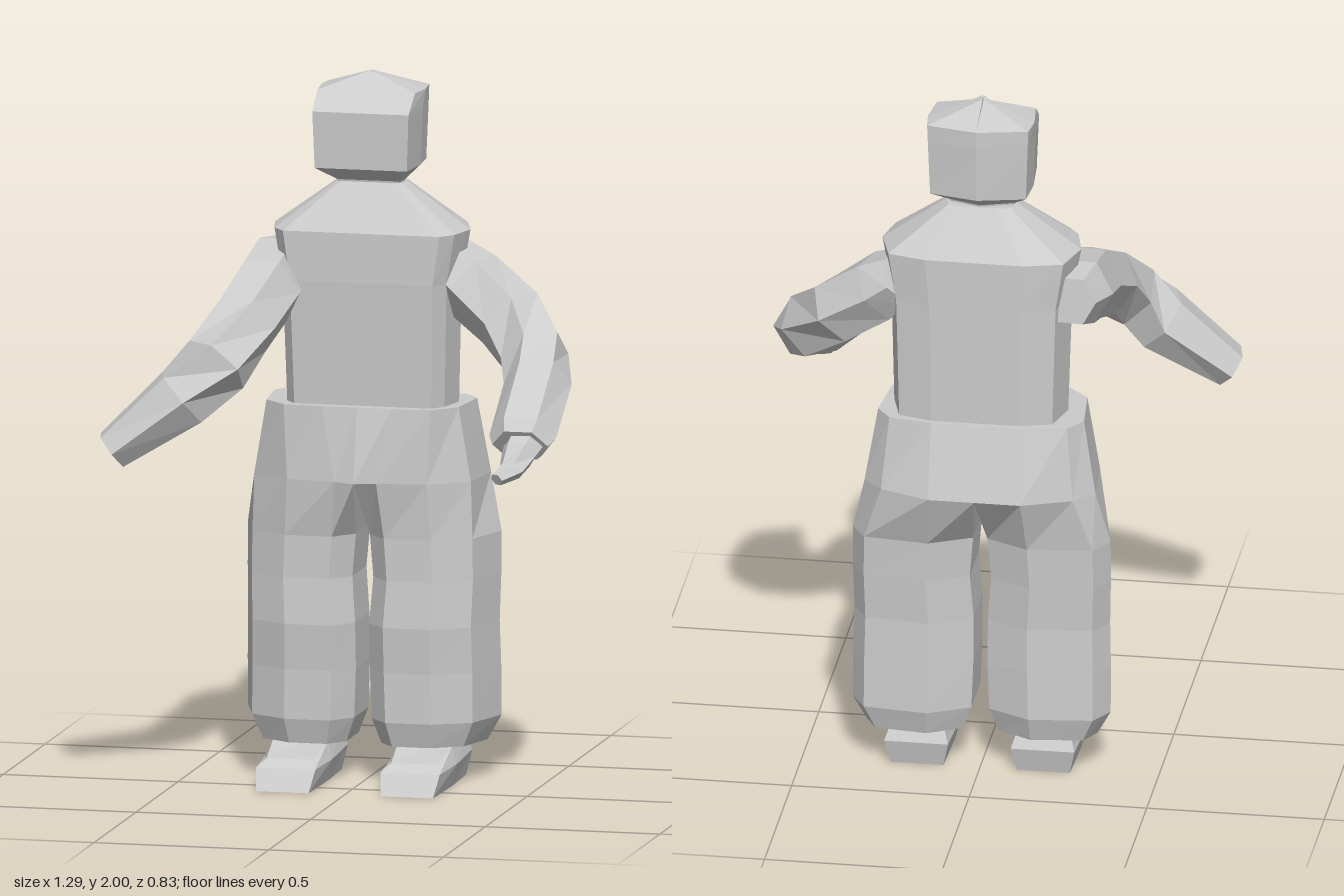
import * as THREE from 'three';

const material = new THREE.MeshStandardMaterial({ color: 0xcccccc, flatShading: true });
const V = (x, y, z) => new THREE.Vector3(x, y, z);

// Skin a stack of equal-length rings (ordered front -> +x -> back) and cap both ends.
function loft(name, rings) {
  const pos = [];
  const tri = (...p) => p.forEach((v) => pos.push(v.x, v.y, v.z));
  const n = rings[0].length;
  for (let i = 0; i < rings.length - 1; i++) {
    for (let j = 0; j < n; j++) {
      const k = (j + 1) % n;
      const a = rings[i][j], b = rings[i][k], c = rings[i + 1][k], d = rings[i + 1][j];
      tri(a, b, c);
      tri(a, c, d);
    }
  }
  const centre = (r) => r.reduce((s, p) => s.add(p), V(0, 0, 0)).divideScalar(n);
  const first = rings[0], last = rings[rings.length - 1];
  const c0 = centre(first), c1 = centre(last);
  for (let j = 0; j < n; j++) {
    const k = (j + 1) % n;
    tri(c0, first[k], first[j]);
    tri(c1, last[j], last[k]);
  }
  const geo = new THREE.BufferGeometry();
  geo.setAttribute('position', new THREE.Float32BufferAttribute(pos, 3));
  geo.computeVertexNormals();
  const mesh = new THREE.Mesh(geo, material);
  mesh.name = name;
  return mesh;
}

// Full ring from its +x half, given as [x, z] from front to back.
function symmetric(y, half, dx = 0) {
  const left = half.map(([x, z]) => V(x + dx, y, z));
  const right = half.slice(1, -1).reverse().map(([x, z]) => V(dx - x, y, z));
  return [...left, ...right];
}

// Body cross-section: width w, front and back depth, chamfered corners.
const bodyRing = (y, w, front, back, dx = 0.01) => {
  const d = front - back;
  return symmetric(y, [[0, front], [w * 0.8, front], [w * 0.92, front - d * 0.15], [w, front - d * 0.5],
    [w * 0.88, back + d * 0.1], [w * 0.5, back], [0, back]], dx);
};

// Mirror rings across x = 0, keeping the facing outward.
const mirrorRings = (rings) => rings.map((r) => r.map((p) => V(-p.x, p.y, p.z)).reverse());

// Trouser leg cross-section, an uneven octagon.
function legRing(y, x0, x1, front, back) {
  const w = x1 - x0, d = front - back;
  return [[x0 + w * 0.16, front], [x0 + w * 0.55, front], [x1 - w * 0.14, front - d * 0.2], [x1, back + d * 0.3],
    [x1 - w * 0.12, back + d * 0.07], [x0 + w * 0.35, back], [x0, back + d * 0.2], [x0, front - d * 0.22]]
    .map(([x, z]) => V(x, y, z));
}

// Sided tube along stations [x, y, z, halfWidth, halfHeight].
function limb(name, stations, sides = 6) {
  const pts = stations.map((s) => V(s[0], s[1], s[2]));
  const rings = stations.map((s, i) => {
    const dir = pts[Math.min(i + 1, pts.length - 1)].clone().sub(pts[Math.max(i - 1, 0)]).normalize();
    const up = V(0, 1, 0).addScaledVector(dir, -dir.y).normalize();
    const side = dir.clone().cross(up);
    return Array.from({ length: sides }, (_, j) => {
      const t = ((j + 0.5) / sides) * Math.PI * 2;
      return pts[i].clone().addScaledVector(side, Math.sin(t) * s[3]).addScaledVector(up, Math.cos(t) * s[4]);
    });
  });
  return loft(name, rings);
}

export function createModel() {
  const model = new THREE.Group();

  // Torso with sloping shoulders up to the neck
  model.add(loft('torso', [
    bodyRing(1.0, 0.24, -0.08, -0.33), bodyRing(1.07, 0.245, -0.08, -0.34), bodyRing(1.25, 0.25, -0.07, -0.34),
    bodyRing(1.42, 0.255, -0.06, -0.34), bodyRing(1.56, 0.28, -0.06, -0.34), bodyRing(1.69, 0.1, -0.15, -0.25),
  ]));

  // Head: narrow neck, boxy face, chamfered brow and low pointed crown
  const headRing = (y, w, front, back) => symmetric(y, [[0, front], [w * 0.93, front],
    [w, (front + back) / 2], [w * 0.95, back + 0.03], [0, back]], 0.008);
  model.add(loft('head', [
    headRing(1.67, 0.09, -0.16, -0.24), headRing(1.695, 0.095, -0.155, -0.245),
    headRing(1.74, 0.142, -0.065, -0.315), headRing(1.9, 0.148, -0.06, -0.32),
    headRing(1.95, 0.15, -0.13, -0.32), headRing(2.0, 0.002, -0.197, -0.203),
  ]));

  // Trouser seat
  const hip = [[0, -0.01], [0.06, -0.03], [0.2, -0.05], [0.31, -0.12], [0.325, -0.3], [0.27, -0.36], [0.13, -0.413], [0, -0.413]];
  const waist = [[0, -0.05], [0.1, -0.05], [0.21, -0.055], [0.275, -0.12], [0.29, -0.28], [0.25, -0.335], [0.13, -0.355], [0, -0.355]];
  model.add(loft('trouserSeat', [symmetric(0.86, hip), symmetric(1.07, waist)]));

  // Baggy trouser legs
  const hipTop = [...hip.slice(1), hip[0]].map(([x, z]) => V(x, 0.86, z));
  const leg = [
    legRing(0.11, 0.05, 0.325, -0.08, -0.335), legRing(0.18, 0.025, 0.363, -0.06, -0.355),
    legRing(0.32, 0.02, 0.363, -0.06, -0.35), legRing(0.45, 0.02, 0.36, -0.05, -0.345),
    legRing(0.58, 0.03, 0.363, -0.06, -0.35), legRing(0.7, 0.02, 0.363, -0.06, -0.355), hipTop,
  ];
  model.add(loft('leftTrouserLeg', leg), loft('rightTrouserLeg', mirrorRings(leg)));

  // Wedge shoes: sole, widest line and sloping upper
  const shoeRing = (pts) => [...pts.map(([x, y, z]) => V(0.178 + x, y, z)),
    ...pts.slice().reverse().map(([x, y, z]) => V(0.178 - x, y, z))];
  const shoe = [
    shoeRing([[0.075, 0, 0.095], [0.08, 0, -0.12], [0.075, 0, -0.3]]),
    shoeRing([[0.085, 0.06, 0.055], [0.097, 0.065, -0.1], [0.09, 0.07, -0.315]]),
    shoeRing([[0.065, 0.08, 0.01], [0.078, 0.11, -0.12], [0.075, 0.115, -0.29]]),
  ];
  model.add(loft('leftShoe', shoe), loft('rightShoe', mirrorRings(shoe)));

  // Left arm, bent forward and down, with a small mitten hand
  model.add(limb('leftArm', [
    [0.22, 1.46, -0.23, 0.1, 0.08], [0.29, 1.41, -0.2, 0.115, 0.1], [0.41, 1.32, -0.17, 0.11, 0.1],
    [0.5, 1.23, -0.09, 0.1, 0.1], [0.535, 1.17, 0.02, 0.095, 0.09], [0.545, 1.06, 0.24, 0.095, 0.075],
    [0.545, 1.04, 0.27, 0.08, 0.06],
  ]));
  model.add(limb('leftHand', [
    [0.555, 1.05, 0.24, 0.06, 0.045], [0.55, 1.02, 0.31, 0.05, 0.045],
    [0.54, 0.985, 0.36, 0.04, 0.028], [0.51, 0.965, 0.405, 0.022, 0.018],
  ]));

  // Right arm, reaching forward then swung outward
  model.add(limb('rightArm', [
    [-0.255, 1.44, -0.29, 0.07, 0.075], [-0.26, 1.43, -0.2, 0.1, 0.1], [-0.26, 1.39, -0.05, 0.1, 0.11],
    [-0.285, 1.32, 0.12, 0.1, 0.1], [-0.33, 1.23, 0.25, 0.1, 0.1], [-0.42, 1.14, 0.285, 0.1, 0.095],
    [-0.61, 0.99, 0.325, 0.08, 0.06],
  ]));

  return model;
}
